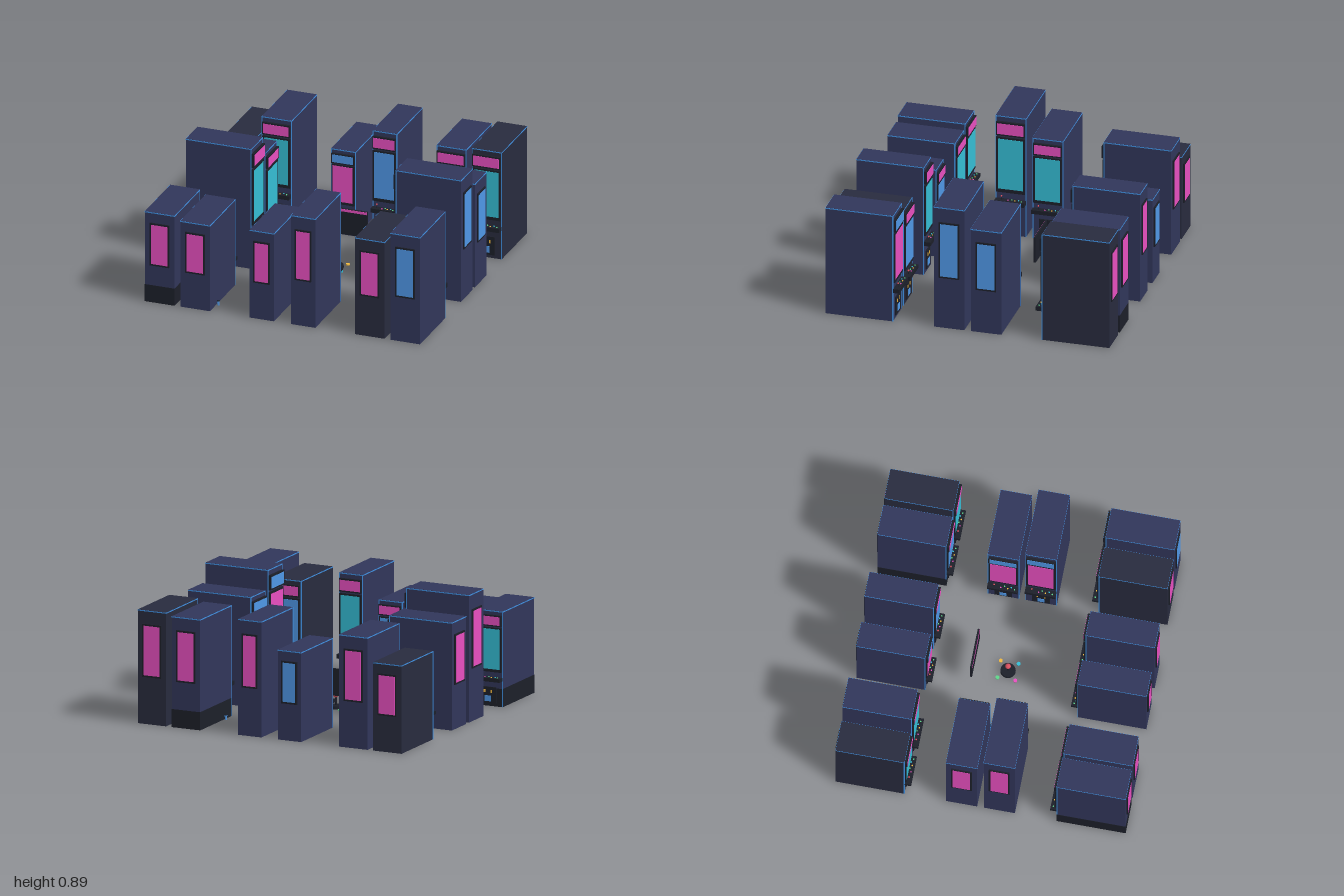
import * as THREE from 'three';

const mats = {};
const mat = (color) => (mats[color] ??= new THREE.MeshStandardMaterial({ color, side: THREE.FrontSide }));
const DARK = 0x1c1f29, TRIM = 0x3f8fe0, PINK = 0xe84fc0, BLUE = 0x4f97e6, TEAL = 0x35bdd4;
const YELLOW = 0xf0b840, GREEN = 0x5fd68a, RED = 0xd8505f, NAVY = 0x31365a, SLATE = 0x282b3e;

function add(parent, name, geometry, color, x, y, z) {
  const mesh = new THREE.Mesh(geometry, mat(color));
  mesh.name = name;
  mesh.position.set(x, y, z);
  parent.add(mesh);
  return mesh;
}

// Box given by its centre in x and z and its lower and upper height
const box = (parent, name, color, w, d, x, z, y0, y1) =>
  add(parent, name, new THREE.BoxGeometry(w, y1 - y0, d), color, x, (y0 + y1) / 2, z);

const DEPTH = 0.47, F = DEPTH / 2;

// One upright cabinet, facing +z
function cabinet(w, h, glow, screen, bodyColor, plinth) {
  const g = new THREE.Group();
  g.name = 'cabinet';
  box(g, 'body', bodyColor, w, DEPTH, 0, 0, 0, h);
  if (plinth) box(g, 'plinth', DARK, w + 0.003, DEPTH + 0.003, 0, 0, 0, 0.125);

  // Edge trim around the top and down the front corners
  box(g, 'topTrim', TRIM, w + 0.003, DEPTH + 0.003, 0, 0, h - 0.008, h - 0.001);
  for (const s of [-1, 1]) {
    box(g, 'frontTrim', TRIM, 0.006, 0.006, s * (w / 2 - 0.0015), F - 0.0015, 0, h - 0.004);
  }

  // Rear light panel
  const rw = w > 0.2 ? 0.12 : 0.095;
  box(g, 'rearFrame', DARK, rw + 0.022, 0.009, 0, -F - 0.0045, 0.43 * h - 0.012, 0.865 * h + 0.012);
  box(g, 'rearLight', glow, rw, 0.004, 0, -F - 0.008, 0.43 * h, 0.865 * h);

  // Marquee and screen, each set in a dark frame
  box(g, 'marqueeFrame', DARK, w * 0.94, 0.018, 0, F + 0.009, 0.84 * h, 0.955 * h);
  box(g, 'marquee', glow, w * 0.87, 0.004, 0, F + 0.018, 0.853 * h, 0.942 * h);
  box(g, 'screenFrame', DARK, w * 0.94, 0.012, 0, F + 0.006, 0.36 * h, 0.825 * h);
  box(g, 'screen', screen, w * 0.82, 0.004, 0, F + 0.012, 0.39 * h, 0.81 * h);

  // Control deck with joystick and buttons
  const top = 0.305 * h, dz = F + 0.0225;
  box(g, 'controlDeck', DARK, w * 0.98, 0.045, 0, dz, 0.268 * h, top);
  add(g, 'joystickShaft', new THREE.CylinderGeometry(0.002, 0.002, 0.024, 8), DARK, -w * 0.28, top + 0.012, dz);
  add(g, 'joystickKnob', new THREE.SphereGeometry(0.006, 12, 8), RED, -w * 0.28, top + 0.026, dz);
  [PINK, GREEN, YELLOW, TEAL, GREEN].forEach((color, i) => {
    add(g, 'button', new THREE.CylinderGeometry(0.005, 0.005, 0.005, 10), color,
      w * (-0.06 + 0.11 * i), top + 0.002, dz + (i % 2 ? -0.007 : 0.005));
  });

  // Coin door
  box(g, 'coinPlate', DARK, w * 0.56, 0.008, 0, F + 0.004, 0.03 * h, 0.2 * h);
  box(g, 'coinDoor', BLUE, w * 0.22, 0.004, 0, F + 0.009, 0.05 * h, 0.11 * h);
  for (const s of [-1, 1]) {
    box(g, 'coinSlot', YELLOW, w * 0.05, 0.004, s * w * 0.12, F + 0.009, 0.14 * h, 0.17 * h);
  }
  return g;
}

export function createModel() {
  const model = new THREE.Group();
  model.name = 'arcadeHall';
  const WIDE = 0.213, SLIM = 0.175, R = 0.755;

  // Front and rear rows: x, width, then height, glow, screen, body, plinth
  const xs = [-0.885, -0.63, -0.15, 0.148, 0.628, 0.883];
  const frontRow = [
    [0.66, PINK, TEAL, NAVY, true], [0.63, PINK, TEAL, NAVY], [0.645, PINK, BLUE, NAVY],
    [0.8, PINK, TEAL, NAVY], [0.71, PINK, BLUE, SLATE], [0.785, BLUE, PINK, NAVY],
  ];
  const rearRow = [
    [0.61, PINK, TEAL, SLATE], [0.775, PINK, TEAL, NAVY], [0.62, BLUE, PINK, NAVY],
    [0.8, PINK, BLUE, NAVY], [0.765, PINK, BLUE, NAVY, true], [0.785, PINK, TEAL, SLATE],
  ];
  xs.forEach((x, i) => {
    const w = Math.abs(x) < 0.3 ? SLIM : WIDE;
    const front = cabinet(w, ...frontRow[i]);
    front.position.set(x, 0, R);
    front.rotation.y = Math.PI;
    const rear = cabinet(w, ...rearRow[i]);
    rear.position.set(x, 0, -R);
    model.add(front, rear);
  });

  // Side pairs facing the middle: side, z, height, glow, screen
  for (const [side, z, h, glow, screen] of [
    [-1, 0.128, 0.88, PINK, TEAL], [-1, -0.13, 0.745, PINK, TEAL],
    [1, 0.128, 0.892, BLUE, PINK], [1, -0.13, 0.76, BLUE, PINK],
  ]) {
    const c = cabinet(WIDE, h, glow, screen, NAVY);
    c.position.set(side * R, 0, z);
    c.rotation.y = -side * Math.PI / 2;
    model.add(c);
  }

  // Large joystick in the middle with four floor buttons
  const stick = new THREE.Group();
  stick.name = 'centreJoystick';
  add(stick, 'base', new THREE.CylinderGeometry(0.05, 0.052, 0.02, 32), DARK, 0, 0.01, 0);
  add(stick, 'shaft', new THREE.CylinderGeometry(0.006, 0.006, 0.075, 12), DARK, 0, 0.05, 0);
  add(stick, 'knob', new THREE.SphereGeometry(0.019, 24, 16), RED, 0, 0.092, 0);
  for (const [x, z, color] of [[-1, -1, GREEN], [1, -1, YELLOW], [-1, 1, PINK], [1, 1, TEAL]]) {
    add(stick, 'floorButton', new THREE.CylinderGeometry(0.013, 0.013, 0.01, 20), color, x * 0.061, 0.005, z * 0.061);
  }
  model.add(stick);

  // Hanging board with a bright upper band
  box(model, 'board', DARK, 0.28, 0.014, 0, -0.226, 0.145, 0.332);
  box(model, 'boardBand', PINK, 0.276, 0.003, 0, -0.2185, 0.312, 0.33);

  // Small cups on the floor beside the rows
  for (const sx of [-1, 1]) {
    for (const z of [-0.635, 0.878]) {
      add(model, 'cup', new THREE.CylinderGeometry(0.009, 0.007, 0.032, 12), BLUE, sx * 0.506, 0.016, z);
      add(model, 'cupLid', new THREE.CylinderGeometry(0.0095, 0.0095, 0.004, 12), DARK, sx * 0.506, 0.034, z);
    }
  }
  return model;
}
